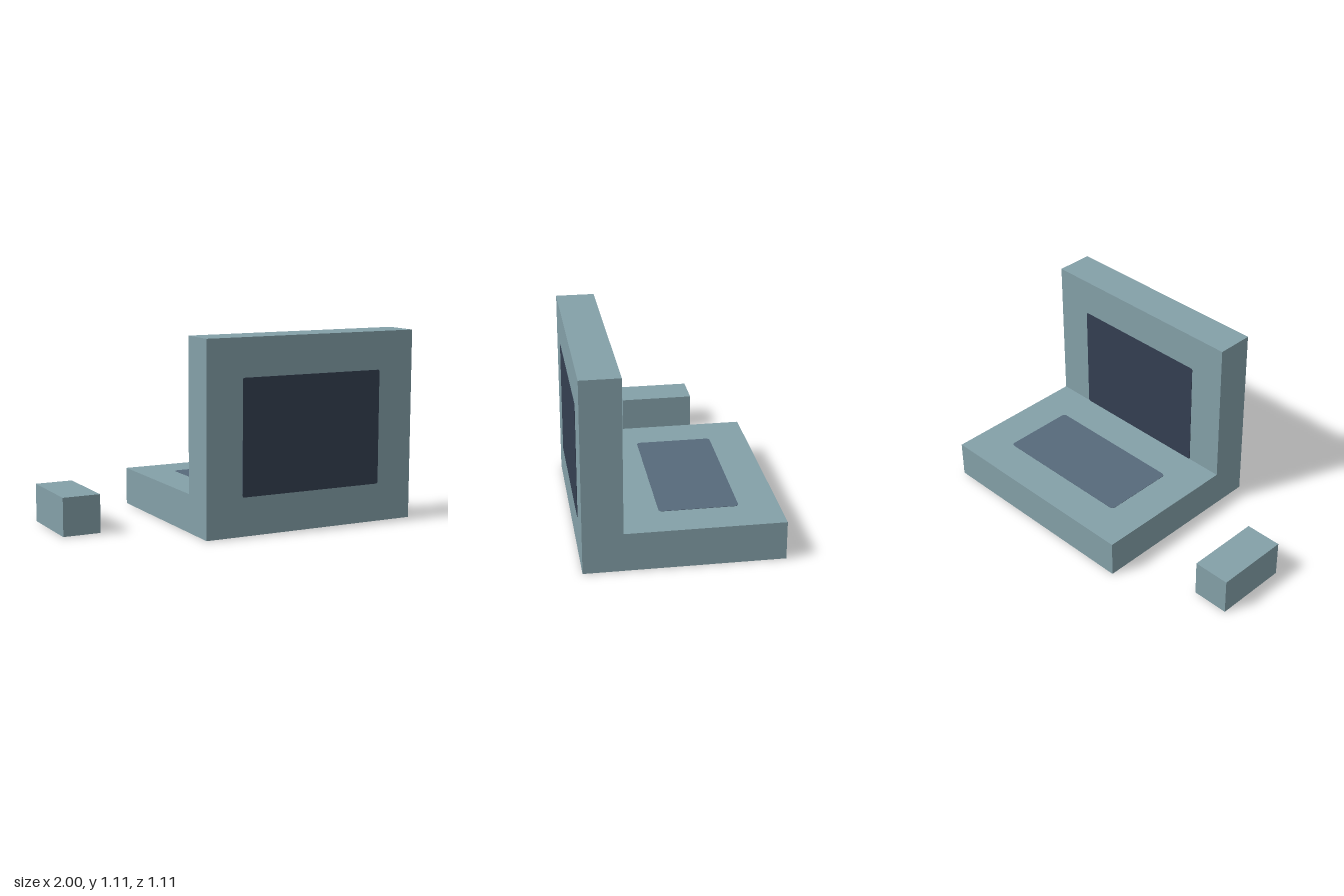
import * as THREE from 'three';

const bodyMat = new THREE.MeshStandardMaterial({ name: 'blue grey body', color: 0x84a0a8 });
const screenMat = new THREE.MeshStandardMaterial({ name: 'dark navy screen', color: 0x343f51 });
const padMat = new THREE.MeshStandardMaterial({ name: 'slate keyboard', color: 0x576a7b });

const CENTER_X = 1 / 3, WIDTH = 4 / 3, UNIT = 2 / 9;

// Thin rounded plate centred on its own origin, facing z
function plate(name, w, h, r, material) {
  const x = w / 2, y = h / 2;
  const s = new THREE.Shape();
  s.moveTo(-x + r, -y);
  s.lineTo(x - r, -y);
  s.absarc(x - r, -y + r, r, -Math.PI / 2, 0);
  s.absarc(x - r, y - r, r, 0, Math.PI / 2);
  s.absarc(-x + r, y - r, r, Math.PI / 2, Math.PI);
  s.absarc(-x + r, -y + r, r, Math.PI, Math.PI * 1.5);
  const geo = new THREE.ExtrudeGeometry(s, { depth: 0.004, bevelEnabled: false, curveSegments: 6 });
  geo.translate(0, 0, -0.002);
  const mesh = new THREE.Mesh(geo, material);
  mesh.name = name;
  return mesh;
}

export function createModel() {
  const model = new THREE.Group();
  model.name = 'openLaptopWithMouse';

  // L-shaped body: upright lid at the front, flat base behind it
  const f = UNIT * 2.5, l = UNIT * 1.5;
  const profile = new THREE.Shape([
    [-f, 0], [f, 0], [f, UNIT], [-l, UNIT], [-l, UNIT * 5], [-f, UNIT * 5],
  ].map(([x, y]) => new THREE.Vector2(x, y)));
  const bodyGeo = new THREE.ExtrudeGeometry(profile, { depth: WIDTH, bevelEnabled: false });
  bodyGeo.translate(0, 0, -WIDTH / 2).rotateY(Math.PI / 2); // profile x becomes -z
  const body = new THREE.Mesh(bodyGeo, bodyMat);
  body.name = 'lidAndBase';
  body.position.x = CENTER_X;
  model.add(body);

  // Screen on both faces of the lid
  for (const [name, z] of [['frontScreen', f], ['backScreen', l]]) {
    const screen = plate(name, UNIT * 4, UNIT * 3, 0.01, screenMat);
    screen.position.set(CENTER_X, UNIT * 2.5, z);
    model.add(screen);
  }

  // Keyboard panel on the top and underside of the base
  for (const [name, y] of [['topKeyboard', UNIT], ['bottomKeyboard', 0]]) {
    const pad = plate(name, UNIT * 4, UNIT * 2, 0.022, padMat);
    pad.rotation.x = -Math.PI / 2;
    pad.position.set(CENTER_X, y, -UNIT / 2);
    model.add(pad);
  }

  // Mouse block
  const mouse = new THREE.Mesh(new THREE.BoxGeometry(UNIT, UNIT, UNIT * 2), bodyMat);
  mouse.name = 'mouse';
  mouse.position.set(-1 + UNIT / 2, UNIT / 2, -UNIT / 2);
  model.add(mouse);

  return model;
}
